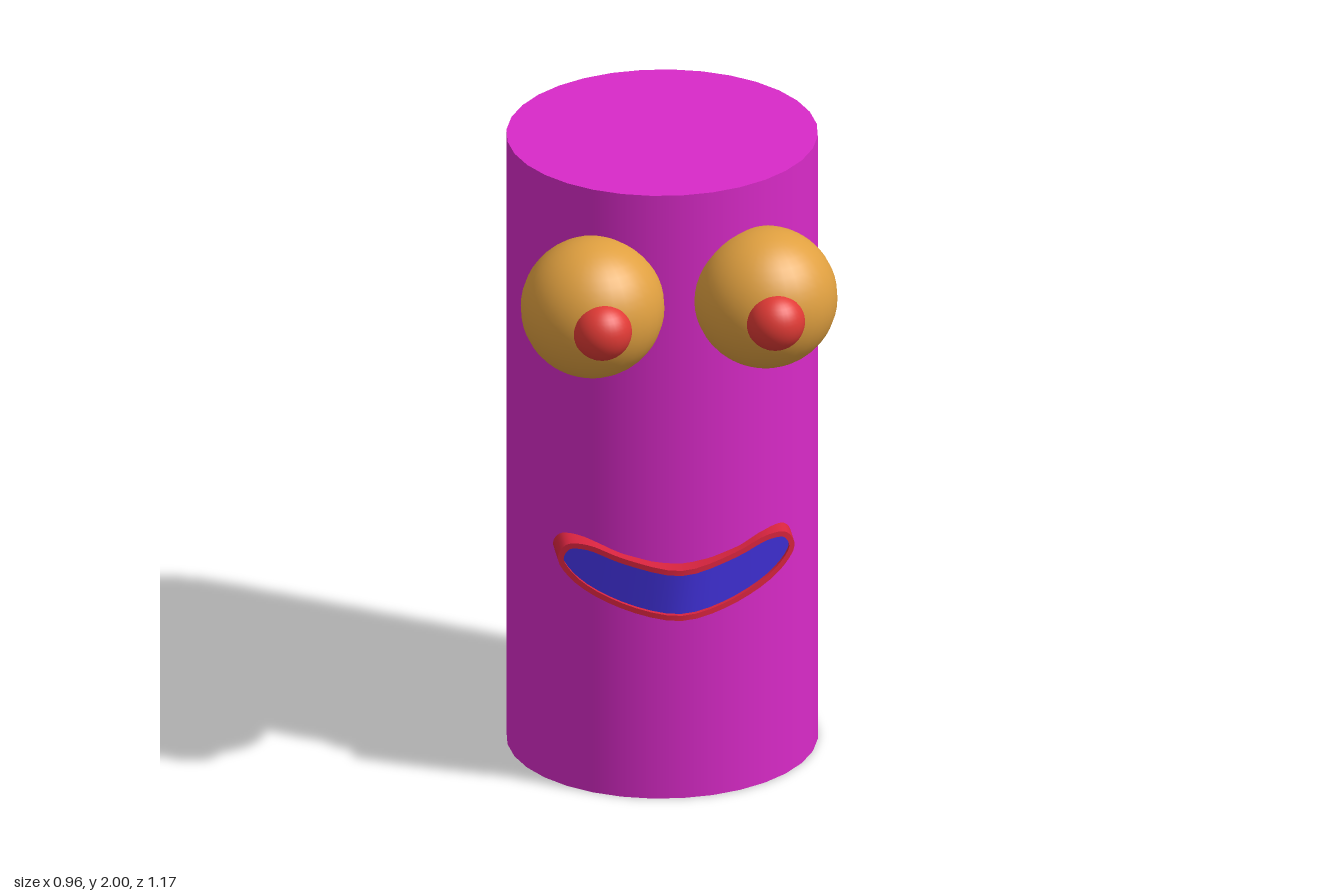
import * as THREE from 'three';
import { toCreasedNormals } from 'three/addons/utils/BufferGeometryUtils.js';

const paint = (color, side = THREE.FrontSide) => new THREE.MeshStandardMaterial({ color, side });

// Skin a list of equally long rows of points
function skin(rows) {
  const n = rows[0].length;
  const index = [];
  for (let i = 0; i < rows.length - 1; i++) {
    for (let k = 0; k < n - 1; k++) {
      const a = i * n + k, b = a + n;
      index.push(a, a + 1, b, a + 1, b + 1, b);
    }
  }
  const geometry = new THREE.BufferGeometry();
  geometry.setAttribute('position', new THREE.Float32BufferAttribute(rows.flat(2), 3));
  geometry.setIndex(index);
  return toCreasedNormals(geometry, 0.7);
}

function addMesh(group, name, geometry, material) {
  const mesh = new THREE.Mesh(geometry, material);
  mesh.name = name;
  group.add(mesh);
  return mesh;
}

function createMouth() {
  const mouth = new THREE.Group();
  mouth.name = 'mouth';

  // Smile outline: right half from top middle to bottom middle, then mirrored
  const half = [[0, 0.778], [0.17, 0.807], [0.275, 0.841], [0.335, 0.835],
    [0.36, 0.785], [0.31, 0.712], [0.18, 0.643], [0, 0.612]];
  const mirrored = half.slice(1, -1).reverse().map(([x, y]) => [-x, y]);
  const curve = new THREE.CatmullRomCurve3(
    [...half, ...mirrored].map(([x, y]) => new THREE.Vector3(x, y, 0)), true);

  // The front wraps around the body
  const front = (x) => 0.375 - 0.4 * (Math.hypot(x, 0.06) - 0.06);
  const N = 56, rim = 0.017, depth = 0.2;
  const inner = [], lipRows = [];
  for (let i = 0; i <= N; i++) {
    const p = curve.getPoint((i % N) / N);
    const t = curve.getTangent((i % N) / N);
    const qx = p.x + t.y * rim, qy = p.y - t.x * rim;
    inner.push([qx, qy]);
    lipRows.push([
      [p.x, p.y, front(p.x) - depth], [p.x, p.y, front(p.x)],
      [qx, qy, front(qx)], [qx, qy, front(qx) - depth],
    ]);
  }
  addMesh(mouth, 'lips', skin(lipRows), paint(0xd8243f, THREE.DoubleSide));

  // Slightly recessed filling, spanning from upper to lower lip
  const fillRows = [];
  for (let s = -N / 4; s <= N / 4; s++) {
    fillRows.push([inner[(s + N) % N], inner[N / 2 - s]]
      .map(([x, y]) => [x, y, front(x) - 0.014]));
  }
  addMesh(mouth, 'mouthOpening', skin(fillRows), paint(0x4030d8, THREE.DoubleSide));
  return mouth;
}

export function createModel() {
  const model = new THREE.Group();
  model.name = 'cylinderFace';

  // Body, a little shallower than wide
  const body = addMesh(model, 'body', new THREE.CylinderGeometry(0.47, 0.47, 2, 32), paint(0xd92ac8));
  body.scale.z = 0.965;
  body.position.set(0.01, 1, -0.131);

  // Eyes with bulging pupils
  for (const [side, sign] of [['left', 1], ['right', -1]]) {
    const eye = new THREE.Group();
    eye.name = side + 'Eye';
    const ball = addMesh(eye, 'eyeball', new THREE.SphereGeometry(0.217, 32, 24), paint(0xe0a040));
    ball.scale.z = 0.965;
    const pupil = addMesh(eye, 'pupil', new THREE.SphereGeometry(0.09, 32, 20), paint(0xe03a35));
    pupil.scale.z = 0.965;
    pupil.position.set(0.005, 0, 0.177);
    eye.position.set(sign * 0.263, 1.645, 0.317);
    model.add(eye);
  }

  model.add(createMouth());
  return model;
}
